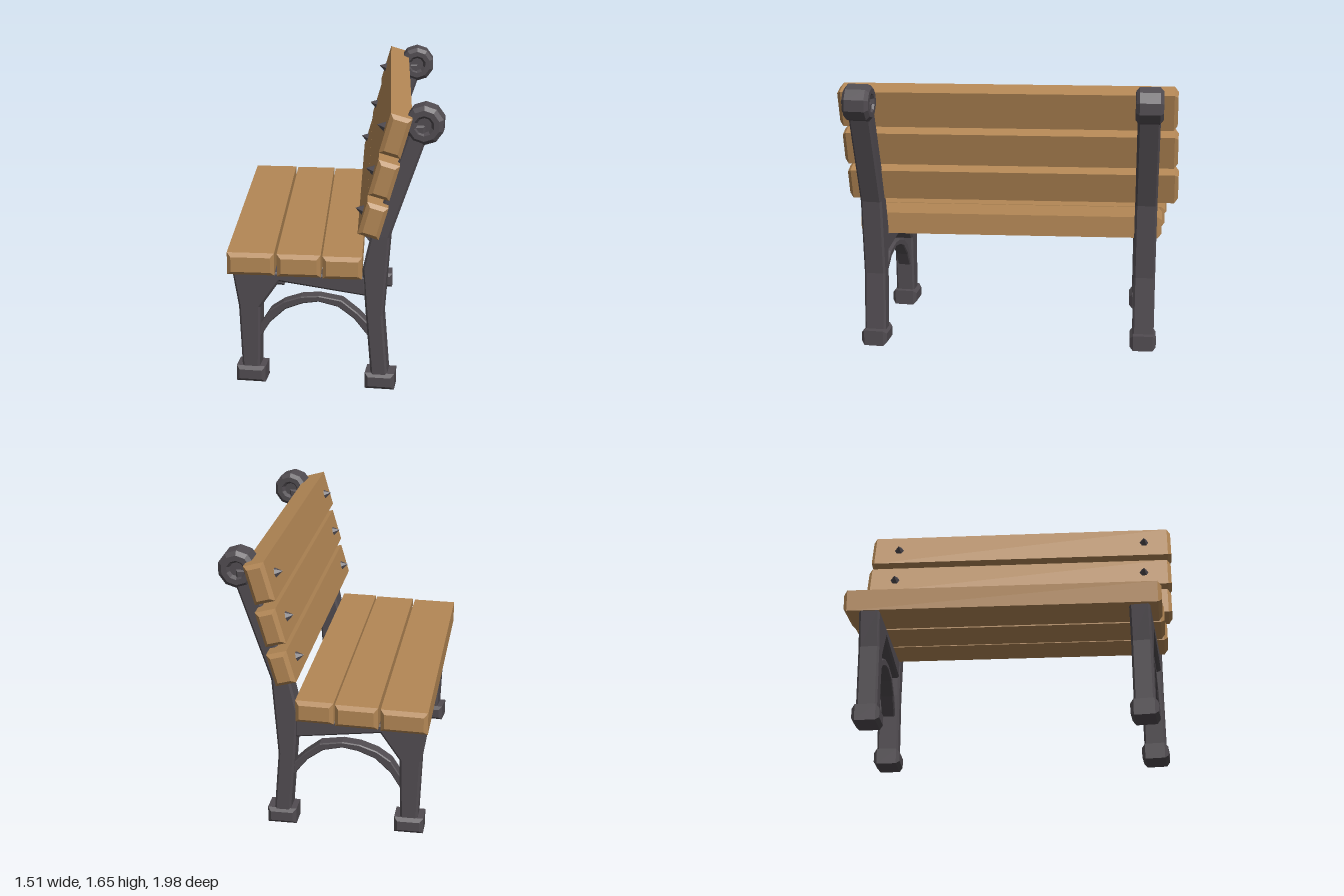
import * as THREE from 'three';

const wood = new THREE.MeshStandardMaterial({ color: 0xb38755, flatShading: true });
wood.name = 'wood';
const iron = new THREE.MeshStandardMaterial({ color: 0x514c51, flatShading: true });
iron.name = 'cast iron';

function mesh(name, geometry, material) {
  const m = new THREE.Mesh(geometry, material);
  m.name = name;
  return m;
}

// Chamfered slab: outline in x/y, centred thickness along z
function slab(points, depth, bevel) {
  const shape = new THREE.Shape(points.map(([x, y]) => new THREE.Vector2(x, y)));
  const g = new THREE.ExtrudeGeometry(shape, {
    depth: depth - 2 * bevel, bevelThickness: bevel, bevelSize: bevel,
    bevelOffset: -bevel, bevelSegments: 1,
  });
  return g.translate(0, 0, bevel - depth / 2);
}

function block(w, h, d, bevel) {
  const x = w / 2, y = h / 2;
  return slab([[-x, -y], [x, -y], [x, y], [-x, y]], d, bevel);
}

// Planks run along the slightly skewed length of the bench
const skew = new THREE.Matrix4().makeBasis(
  new THREE.Vector3(0.99, 0, -0.14),
  new THREE.Vector3(0, 1, 0),
  new THREE.Vector3(0.186, 0, 0.983)
);

function plank(name, [x, y, z], [w, h, length], lean) {
  const g = block(w, h, length, 0.022).rotateZ(-lean).applyMatrix4(skew);
  const m = mesh(name, g, wood);
  m.position.set(x, y, z);
  return m;
}

// Side frame, measured from its rear foot: front lies towards -x
function sideFrame(name) {
  const frame = new THREE.Group();
  frame.name = name;

  const frontLeg = [[-0.79, 0.08], [-0.69, 0.08], [-0.68, 0.46], [-0.57, 0.62],
    [-0.08, 0.56], [-0.08, 0.675], [-0.84, 0.675], [-0.805, 0.46]];
  frame.add(mesh('frontLegAndRail', slab(frontLeg, 0.12, 0.012), iron));

  const backLeg = [[-0.05, 0.08], [0.045, 0.08], [0.016, 0.45], [0.05, 0.91],
    [0.235, 1.455], [0.235, 1.55], [0.16, 1.55], [-0.055, 0.92], [-0.1, 0.72], [-0.08, 0.45]];
  frame.add(mesh('backLeg', slab(backLeg, 0.13, 0.012), iron));

  // Arched brace between the legs
  const outer = [[-0.7, 0.33], [-0.63, 0.44], [-0.55, 0.495], [-0.45, 0.53], [-0.35, 0.54],
    [-0.22, 0.52], [-0.13, 0.45], [-0.05, 0.37]];
  const inner = [[-0.05, 0.29], [-0.15, 0.415], [-0.24, 0.48], [-0.35, 0.505],
    [-0.44, 0.49], [-0.54, 0.45], [-0.63, 0.365], [-0.7, 0.25]];
  frame.add(mesh('archBrace', slab([...outer, ...inner].reverse(), 0.08, 0.006), iron));

  for (const [part, x] of [['frontFoot', -0.74], ['backFoot', 0]]) {
    const foot = mesh(part, block(0.168, 0.095, 0.158, 0.02), iron);
    foot.position.set(x, 0.0525, 0);
    frame.add(foot);
  }

  // Rolled top with a recess on each side
  const profile = [[0, -0.055], [0.04, -0.055], [0.055, -0.078], [0.085, -0.078], [0.108, -0.058],
    [0.108, 0.058], [0.085, 0.078], [0.055, 0.078], [0.04, 0.055], [0, 0.055]];
  const scroll = mesh('scrollTop', new THREE.LatheGeometry(
    profile.map(([r, y]) => new THREE.Vector2(r, y)), 10).rotateX(Math.PI / 2), iron);
  scroll.position.set(0.228, 1.55, 0);
  frame.add(scroll);
  return frame;
}

export function createModel() {
  const bench = new THREE.Group();
  bench.name = 'bench';

  // Side frames
  const leftSide = sideFrame('nearSideFrame');
  leftSide.position.set(0.42, 0, 0.8);
  leftSide.rotation.y = 0.08;
  const rightSide = sideFrame('farSideFrame');
  rightSide.position.set(0.1, 0, -0.8);
  rightSide.rotation.y = 0.18;
  bench.add(leftSide, rightSide);

  // Seat planks
  const seat = [[-0.458, 0.08, 0.265], [-0.188, 0.053, 0.245], [0.055, 0.034, 0.22]];
  seat.forEach(([x, z, w], i) =>
    bench.add(plank('seatPlank' + (i + 1), [x, 0.735, z], [w, 0.13, 1.83], 0)));

  // Back planks with their bolts
  const lean = 0.28;
  const back = [[0.217, 1.025, 0.19], [0.275, 1.257, 0.205], [0.335, 1.505, 0.225]];
  back.forEach(([x, y, h], i) => {
    bench.add(plank('backPlank' + (i + 1), [x, y, -0.015], [0.12, h, 1.96], lean));
    for (const z of [-0.79, 0.79]) {
      const bolt = mesh('bolt', new THREE.ConeGeometry(0.03, 0.045, 6).rotateZ(Math.PI / 2 - lean), iron);
      bolt.position.set(x + z * 0.19 - 0.077, y + 0.02, z);
      bolt.rotation.y = 0.18;
      bench.add(bolt);
    }
  });
  return bench;
}
